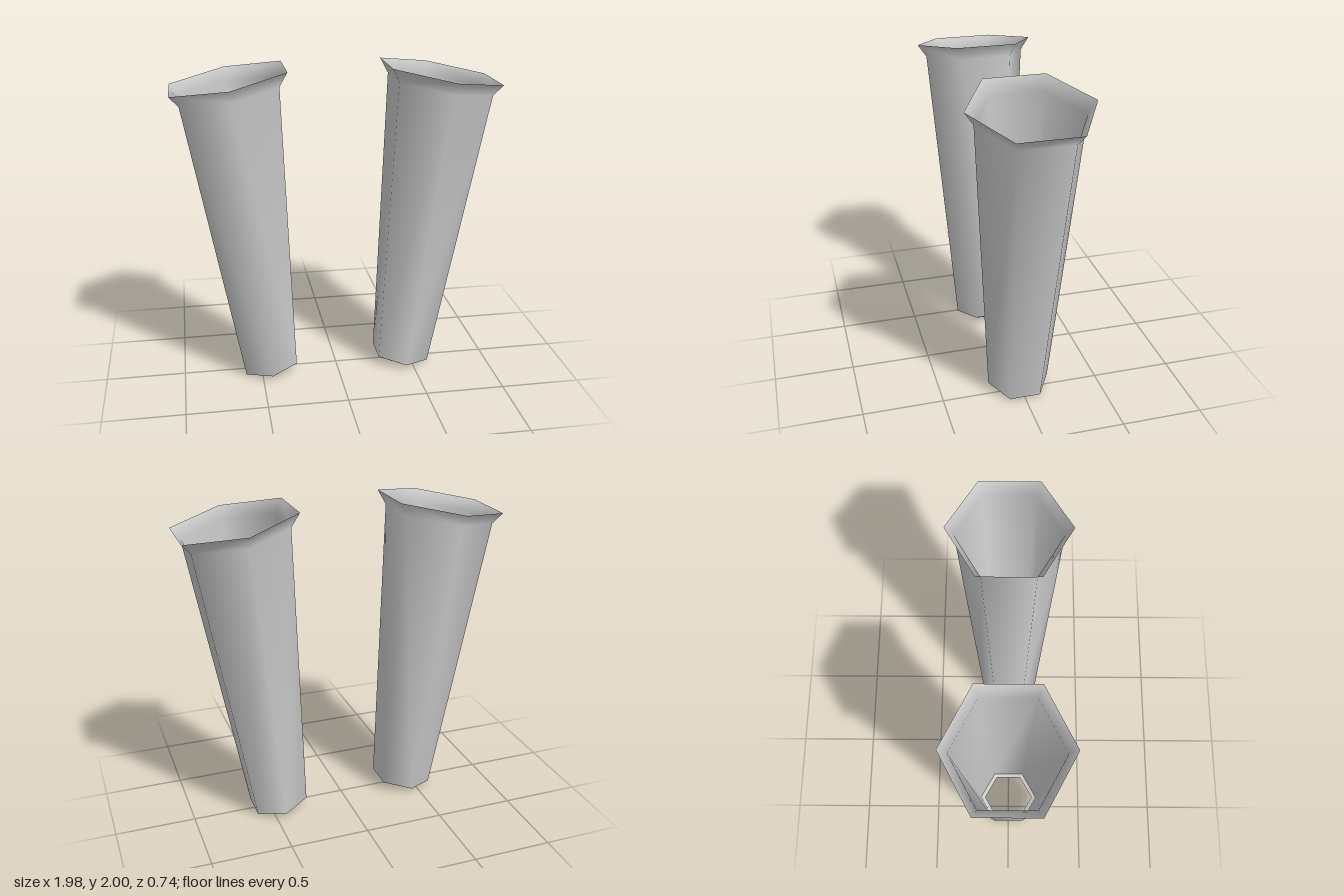
import * as THREE from 'three';

const material = new THREE.MeshStandardMaterial({ color: 0xcccccc, side: THREE.DoubleSide });

// Tilted hexagonal sections: centre x, centre y, half width, drop at the outer side, depth radius
const lipRing = [0.438, 0.022, 0.142, 0.022, 0.165];
const footRing = [0.44, 0.035, 0.165, 0.026, 0.195];
const neckRing = [0.645, 1.863, 0.29, 0.048, 0.317];
const rimRing = [0.65, 1.94, 0.34, 0.06, 0.37];

// Skins a stack of hexagonal sections, listed from bottom to top
function loft(rings) {
  const positions = [], index = [];
  for (const [cx, cy, halfWidth, drop, depth] of rings) {
    for (let k = 0; k < 6; k++) {
      const angle = Math.PI / 6 + k * Math.PI / 3;
      const across = Math.cos(angle) / Math.cos(Math.PI / 6);
      positions.push(cx + halfWidth * across, cy - drop * across, depth * Math.sin(angle));
    }
  }
  for (let r = 0; r < rings.length - 1; r++) {
    for (let k = 0; k < 6; k++) {
      const a = r * 6 + k, b = r * 6 + (k + 1) % 6;
      index.push(a, a + 6, b, b, a + 6, b + 6);
    }
  }
  const geometry = new THREE.BufferGeometry();
  geometry.setAttribute('position', new THREE.Float32BufferAttribute(positions, 3));
  geometry.setIndex(index);
  geometry.computeVertexNormals();
  return geometry;
}

function part(name, geometry) {
  const mesh = new THREE.Mesh(geometry, material);
  mesh.name = name;
  return mesh;
}

export function createModel() {
  const model = new THREE.Group();
  model.name = 'flaredTubes';
  // Tapered wall with flared rim, and the inward lip at the lower opening
  const wall = loft([footRing, neckRing, rimRing]);
  const lip = loft([lipRing, footRing]);
  for (const side of [1, -1]) {
    const tube = new THREE.Group();
    tube.name = side > 0 ? 'leftTube' : 'rightTube';
    tube.add(part('flaredWall', wall), part('lowerLip', lip));
    tube.scale.x = side;
    model.add(tube);
  }
  return model;
}
